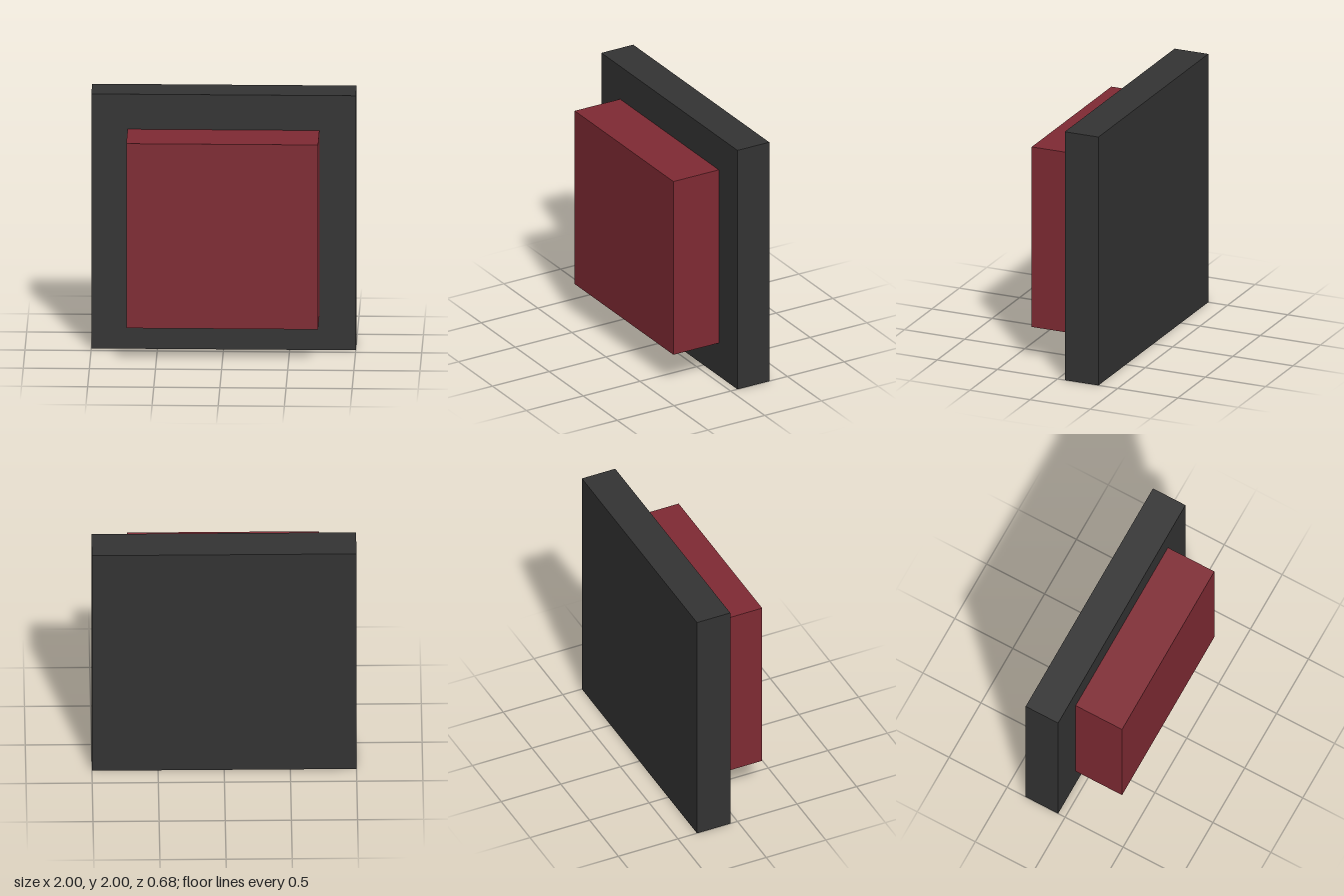
import * as THREE from 'three';

// Box spanning zBack..zFront, centred on x = 0 and y = 1
function slab(name, size, zBack, zFront, color) {
  const mesh = new THREE.Mesh(
    new THREE.BoxGeometry(size, size, zFront - zBack),
    new THREE.MeshStandardMaterial({ color })
  );
  mesh.name = name;
  mesh.position.set(0, 1, (zBack + zFront) / 2);
  return mesh;
}

export function createModel() {
  const group = new THREE.Group();
  group.name = 'wallButton';

  // Dark square mounting plate
  group.add(slab('backPlate', 2, -0.34, -0.06, 0x333333));

  // Raised red push button on the front of the plate
  group.add(slab('button', 1.45, -0.06, 0.34, 0x7f2a33));

  return group;
}
